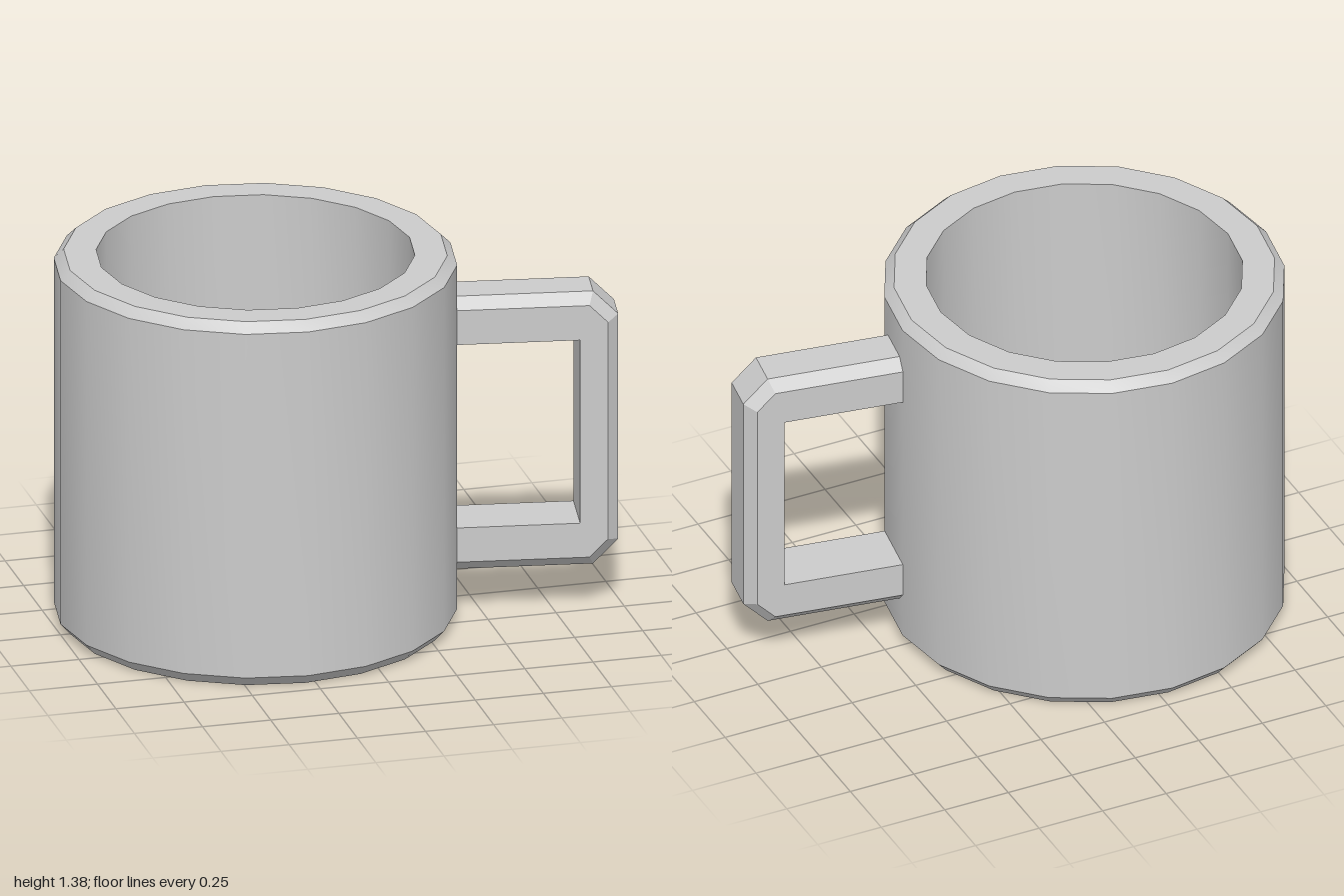
import * as THREE from 'three';
import { toCreasedNormals } from 'three/addons/utils/BufferGeometryUtils.js';

const material = new THREE.MeshStandardMaterial({ color: 0xcccccc });
const flatMaterial = new THREE.MeshStandardMaterial({ color: 0xcccccc, flatShading: true });

// Mug body: hollow 20-sided lathe with bevelled foot and rim
function createBody() {
  const profile = [
    [0, 0], [0.68, 0], [0.715, 0.04], [0.715, 1.345],
    [0.68, 1.38], [0.565, 1.38], [0.565, 0.15], [0, 0.15],
  ].map(([r, y]) => new THREE.Vector2(r, y));
  const geometry = toCreasedNormals(new THREE.LatheGeometry(profile, 20), Math.PI / 6);
  const body = new THREE.Mesh(geometry, material);
  body.name = 'body';
  body.position.x = -0.285;
  return body;
}

// Handle: a six-point section swept round a squared loop, bevelled on its outer edges
function createHandle() {
  const start = 0.35, reach = 1.003, inner = 0.863;
  const top = 1.21, bottom = 0.175, holeTop = 1.04, holeBottom = 0.345;
  const cut = 0.09, bevel = 0.04, back = -0.07, front = 0.152;

  // Outer outline, inset by d, with cut corners
  const outline = (d) => {
    const c = cut - d * (2 - Math.SQRT2);
    const r = reach - d, t = top - d, b = bottom + d;
    const k = Math.max(c, 0.01);
    return [[start, t], [r - k, t], [r, t - k], [r, b + k], [r - k, b], [start, b]];
  };
  const full = outline(0), inset = outline(bevel);
  const hole = [
    [start, holeTop], [inner, holeTop], [inner, holeTop],
    [inner, holeBottom], [inner, holeBottom], [start, holeBottom],
  ];
  const rails = [
    [hole, back], [inset, back], [full, back + bevel],
    [full, front - bevel], [inset, front], [hole, front],
  ];

  const positions = [];
  const index = [];
  const n = rails.length;
  for (let s = 0; s < full.length; s++) {
    for (const [line, z] of rails) positions.push(line[s][0], line[s][1], z);
  }
  for (let s = 0; s < full.length - 1; s++) {
    for (let i = 0; i < n; i++) {
      const j = (i + 1) % n;
      const a = s * n + i, b = s * n + j, c = a + n, d = b + n;
      index.push(a, b, c, b, d, c);
    }
  }
  let geometry = new THREE.BufferGeometry();
  geometry.setAttribute('position', new THREE.Float32BufferAttribute(positions, 3));
  geometry.setIndex(index);
  geometry = geometry.toNonIndexed();
  geometry.computeVertexNormals();

  const handle = new THREE.Mesh(geometry, flatMaterial);
  handle.name = 'handle';
  handle.rotation.y = -THREE.MathUtils.degToRad(9);
  return handle;
}

export function createModel() {
  const mug = new THREE.Group();
  mug.name = 'mug';
  mug.add(createBody(), createHandle());
  return mug;
}
